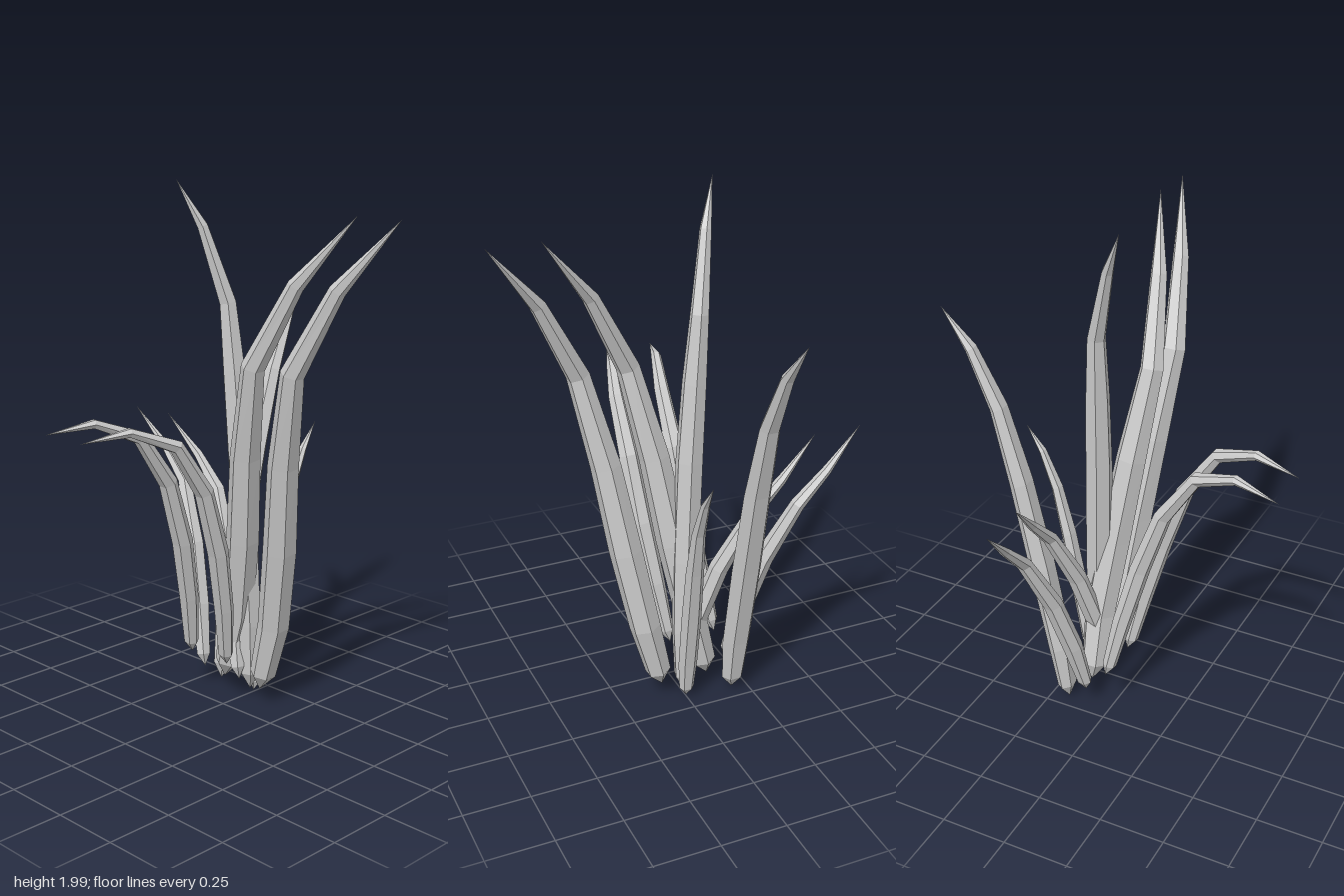
import * as THREE from 'three';

const SIDES = 6;
const material = new THREE.MeshStandardMaterial({ color: 0xcccccc, flatShading: true });

// Tapered six-sided blade swept along [x, y, z, halfWidth] stations.
function bladeGeometry(stations, flatness) {
  const pts = stations.map(s => new THREE.Vector3(s[0], s[1], s[2]));
  const last = pts.length - 1;
  const lean = pts[last].clone().sub(pts[0]);
  const side = new THREE.Vector3(lean.z, 0, -lean.x).normalize();
  const positions = [], index = [];
  pts.forEach((p, i) => {
    const tangent = pts[Math.min(i + 1, last)].clone().sub(pts[Math.max(i - 1, 0)]).normalize();
    const across = side.clone().addScaledVector(tangent, -side.dot(tangent)).normalize();
    const normal = tangent.clone().cross(across);
    const w = stations[i][3];
    for (let k = 0; k < SIDES; k++) {
      const a = (k / SIDES) * Math.PI * 2;
      const v = p.clone()
        .addScaledVector(across, Math.cos(a) * w)
        .addScaledVector(normal, Math.sin(a) * w * flatness);
      positions.push(v.x, v.y, v.z);
    }
  });
  for (let i = 0; i < last; i++) {
    for (let k = 0; k < SIDES; k++) {
      const a = i * SIDES + k, b = i * SIDES + (k + 1) % SIDES;
      const c = a + SIDES, d = b + SIDES;
      if (i > 0) index.push(a, b, d);
      if (i < last - 1) index.push(a, d, c);
      else if (i === 0) index.push(a, d, c);
    }
  }
  const geometry = new THREE.BufferGeometry();
  geometry.setAttribute('position', new THREE.Float32BufferAttribute(positions, 3));
  geometry.setIndex(index);
  geometry.computeVertexNormals();
  return geometry;
}

// Stations run from the pointed root to the tip.
const frontBlade = [
  [0.12, 0.06, 0.08, 0], [0.12, 0.13, 0.097, 0.052], [0.12, 0.34, 0.15, 0.063],
  [0.085, 0.66, 0.21, 0.066], [0.04, 1.0, 0.265, 0.06], [-0.005, 1.35, 0.345, 0.046],
  [0.045, 1.65, 0.5, 0.032], [0.135, 1.9, 0.7, 0],
];
const rightBlade = [
  [0.02, 0.17, -0.19, 0], [0.005, 0.22, -0.18, 0.03], [-0.035, 0.42, -0.15, 0.04],
  [-0.095, 0.66, -0.12, 0.043], [-0.18, 0.91, -0.105, 0.038], [-0.31, 1.1, -0.11, 0.03],
  [-0.48, 1.17, -0.16, 0.02], [-0.66, 1.15, -0.21, 0],
];
const backBlade = [
  [0.1, 0.08, -0.2, 0], [0.1, 0.13, -0.21, 0.03], [0.125, 0.32, -0.255, 0.042],
  [0.165, 0.55, -0.325, 0.04], [0.215, 0.78, -0.435, 0.03], [0.22, 0.9, -0.55, 0.02],
  [0.195, 1.05, -0.7, 0],
];
const leftBlade = [
  [0.18, 0.01, -0.19, 0], [0.19, 0.07, -0.19, 0.045], [0.215, 0.25, -0.19, 0.058],
  [0.285, 0.6, -0.19, 0.061], [0.365, 0.95, -0.185, 0.055], [0.45, 1.24, -0.18, 0.042],
  [0.55, 1.46, -0.187, 0.028], [0.66, 1.61, -0.2, 0],
];
const tallBlade = [
  [0.15, 0.03, 0, 0], [0.15, 0.1, 0, 0.04], [0.145, 0.3, 0, 0.048],
  [0.135, 0.6, -0.01, 0.052], [0.12, 1.0, -0.03, 0.052], [0.11, 1.3, -0.052, 0.046],
  [0.1, 1.55, -0.075, 0.035], [0.025, 1.83, -0.13, 0.022], [-0.05, 2.0, -0.19, 0],
];
// Smaller side blade: the large one scaled about its root and swung slightly forward.
const smallLeftBlade = leftBlade.map(([x, y, z, w]) => {
  const dx = (x - 0.18) * 0.62;
  return [0.17 + dx, 0.01 + y * 0.652, (z + 0.19) * 0.66 + dx * 0.15, w * 0.64];
});

export function createModel() {
  const group = new THREE.Group();
  group.name = 'grassTuft';
  const add = (name, stations, flatness, z = 0) => {
    const mesh = new THREE.Mesh(bladeGeometry(stations, flatness), material);
    mesh.name = name;
    mesh.position.z = z;
    group.add(mesh);
  };

  // Blades that grow as pairs, one behind the other
  add('frontBladeA', frontBlade, 0.95);
  add('frontBladeB', frontBlade, 0.95, -0.19);
  add('rightBladeA', rightBlade, 0.9);
  add('rightBladeB', rightBlade, 0.9, 0.19);
  add('backBladeA', backBlade, 0.9);
  add('backBladeB', backBlade, 0.9, 0.19);

  // Single blades
  add('leftBladeLarge', leftBlade, 0.75);
  add('leftBladeSmall', smallLeftBlade, 0.75);
  add('tallBlade', tallBlade, 1);
  return group;
}
